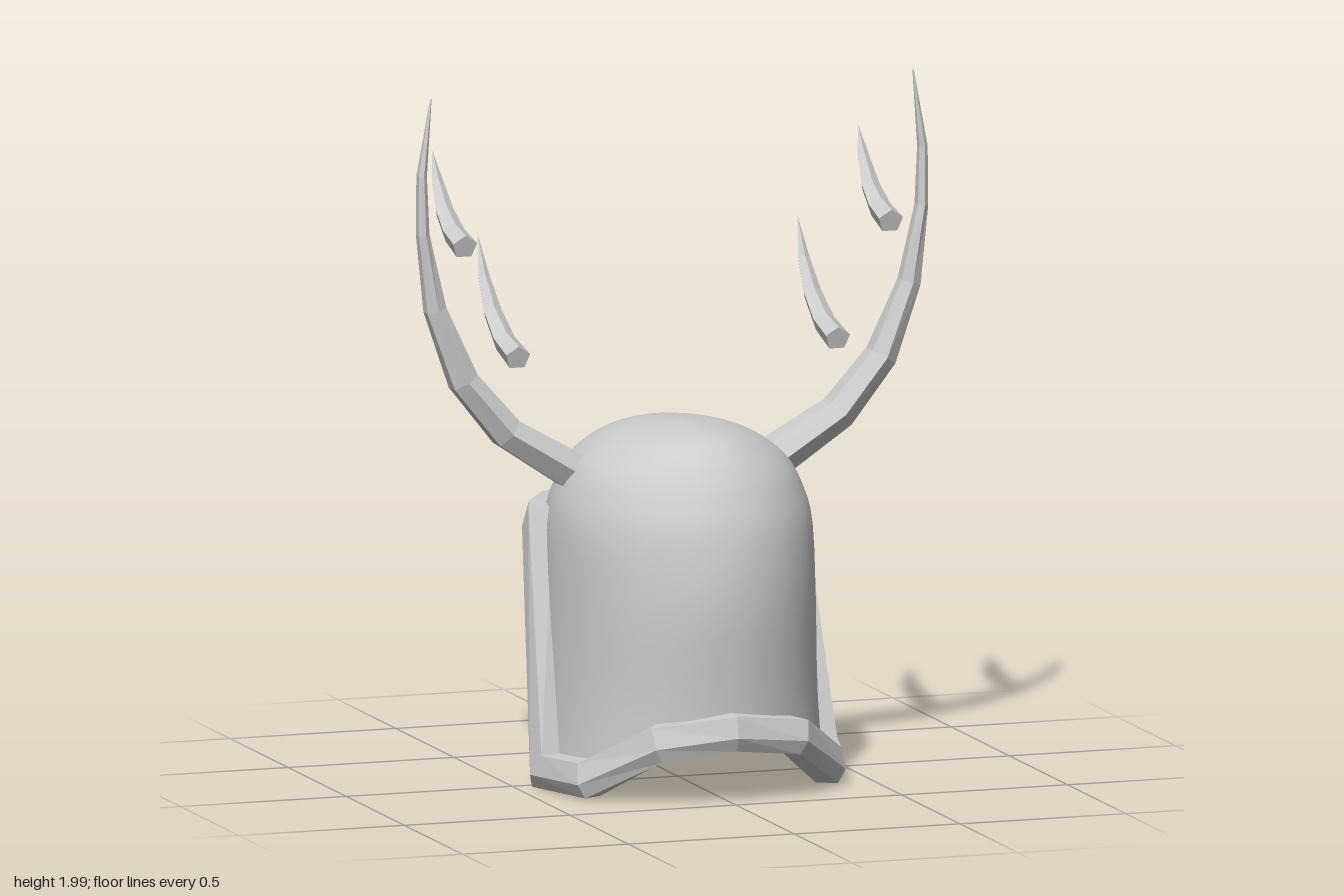
import * as THREE from 'three';
import { mergeGeometries, toCreasedNormals } from 'three/addons/utils/BufferGeometryUtils.js';

const V = (x, y, z) => new THREE.Vector3(x, y, z);
const RAD = Math.PI / 180;

// Flat-shaded skin over a list of rings (arrays of Vector3)
function loft(rings, closed) {
  const pos = [], m = rings.length, n = rings[0].length;
  const tri = (...p) => p.forEach(v => pos.push(v.x, v.y, v.z));
  for (let j = 0; j < (closed ? m : m - 1); j++) {
    const A = rings[j], B = rings[(j + 1) % m];
    for (let k = 0; k < n; k++) {
      const l = (k + 1) % n;
      tri(A[k], B[k], A[l]);
      tri(B[k], B[l], A[l]);
    }
  }
  if (!closed) for (let k = 1; k < n - 1; k++) tri(rings[0][0], rings[0][k], rings[0][k + 1]);
  const g = new THREE.BufferGeometry();
  g.setAttribute('position', new THREE.Float32BufferAttribute(pos, 3));
  g.computeVertexNormals();
  return g;
}

// Tapered horn along a planar path; b is the normal of that plane
function horn(path, rIn, rOut, b, sides) {
  const rings = path.map((p, i) => {
    const t = path[Math.min(i + 1, path.length - 1)].clone()
      .sub(path[Math.max(i - 1, 0)]).normalize();
    const n = t.cross(b);
    return Array.from({ length: sides }, (_, k) => {
      const a = (k + 0.5) / sides * Math.PI * 2;
      return p.clone().addScaledVector(n, Math.cos(a) * rIn[i]).addScaledVector(b, Math.sin(a) * rOut[i]);
    });
  });
  return loft(rings, false);
}

// Height of the shell's lower edge by angle from the back (degrees)
const edge = [[0, 0.21], [30, 0.18], [57, 0.06], [82, 0.06], [109, 0.735], [180, 0.73]];
function lerpTable(table, a) {
  let i = 0;
  while (i < table.length - 2 && a > table[i + 1][0]) i++;
  const [a0, y0] = table[i], [a1, y1] = table[i + 1];
  return y0 + (y1 - y0) * Math.min(1, (a - a0) / (a1 - a0));
}

function shellGeometry() {
  // height, half width, reach to the back, reach to the face
  const prof = [
    [0, 0.41, 0.46, 0.44], [0.25, 0.39, 0.46, 0.44], [0.55, 0.38, 0.48, 0.44],
    [0.75, 0.372, 0.46, 0.435], [0.85, 0.345, 0.425, 0.40], [0.92, 0.307, 0.385, 0.365],
    [0.98, 0.235, 0.33, 0.30], [1.02, 0.14, 0.25, 0.20], [1.04, 0, 0, 0]];
  const side = new THREE.SplineCurve(prof.map(p => new THREE.Vector2(p[1], p[0])));
  const ends = new THREE.SplineCurve(prof.map(p => new THREE.Vector2(p[2], p[3])));
  const cols = 72, rows = 24, pos = [], idx = [];
  for (let c = 0; c < cols; c++) {
    const deg = c * 360 / cols, yb = lerpTable(edge, deg > 180 ? 360 - deg : deg);
    let lo = 0, hi = 1;
    for (let i = 0; i < 30; i++) {
      const mid = (lo + hi) / 2;
      if (side.getPoint(mid).y < yb) lo = mid; else hi = mid;
    }
    for (let r = 0; r <= rows; r++) {
      const t = lo + (1 - lo) * r / rows, s = side.getPoint(t), e = ends.getPoint(t);
      const cz = Math.cos(deg * RAD);
      pos.push(s.x * Math.sin(deg * RAD), s.y, (cz > 0 ? e.x : e.y) * cz + 0.06 * t ** 6);
      if (r < rows) {
        const a = c * (rows + 1) + r, b = ((c + 1) % cols) * (rows + 1) + r;
        idx.push(a, b, a + 1);
        if (r < rows - 1) idx.push(b, b + 1, a + 1);
      }
    }
  }
  const g = new THREE.BufferGeometry();
  g.setAttribute('position', new THREE.Float32BufferAttribute(pos, 3));
  g.setIndex(idx);
  return toCreasedNormals(g, 0.8);
}

// Bevelled rim around the neck, cheeks and brow
function rimGeometry() {
  const half = [
    V(0, 0.205, 0.485), V(0.21, 0.175, 0.435), V(0.37, 0.055, 0.27), V(0.425, 0.05, 0.06),
    V(0.378, 0.73, -0.14), V(0.345, 0.73, -0.22), V(0.265, 0.73, -0.34),
    V(0.145, 0.73, -0.44), V(0, 0.715, -0.487)];
  const path = [...half, ...half.slice(1, -1).reverse().map(p => V(-p.x, p.y, p.z))];
  const section = [[-0.045, -0.05], [0.02, -0.05], [0.04, -0.01], [0.025, 0.05], [-0.045, 0.055]];
  const n = path.length;
  const rings = path.map((p, i) => {
    const out = V(p.x / 0.16, 0, p.z / 0.22).normalize();
    const perp = (a, b) => out.clone().cross(b.clone().sub(a)).normalize();
    const n1 = perp(path[(i + n - 1) % n], p), n2 = perp(p, path[(i + 1) % n]);
    const inward = n1.clone().add(n2).divideScalar(1 + n1.dot(n2));
    return section.map(([o, w]) => p.clone().addScaledVector(out, o).addScaledVector(inward, w));
  });
  return loft(rings, true);
}

// Half of the beaked eye mask: upright panels bent round the face
function maskGeometry(s) {
  const lower = [[0, 0.345], [6, 0.385], [14, 0.445], [24, 0.497], [34, 0.525], [44, 0.54], [73, 0.54]];
  const top = 0.7, K = 0.0075; // K: panel width per degree
  const height = (a, f) => THREE.MathUtils.lerp(lerpTable(lower, a), top, f);

  // Plain panel as a grid between two angles
  const plain = (a0, a1, nx) => {
    const g = new THREE.PlaneGeometry(1, 1, nx, 3), p = g.attributes.position;
    for (let v = 0; v < p.count; v++) {
      const a = a0 + (a1 - a0) * (p.getX(v) + 0.5);
      p.setXY(v, a * K, height(a, p.getY(v) + 0.5));
    }
    return g;
  };

  // Panel with the round eye hole
  const pts = [], add = (a, f) => pts.push(new THREE.Vector2(a * K, height(a, f)));
  for (let a = 24; a <= 44; a += 5) add(a, 0);
  for (const f of [1 / 3, 2 / 3]) add(44, f);
  for (let a = 44; a >= 24; a -= 5) add(a, 1);
  for (const f of [2 / 3, 1 / 3]) add(24, f);
  const shape = new THREE.Shape(pts);
  shape.holes.push(new THREE.Path().absellipse(33.5 * K, 0.602, 0.05, 0.05, 0, Math.PI * 2));

  const g = mergeGeometries([plain(0, 24, 6), new THREE.ShapeGeometry(shape, 6), plain(44, 73, 4)]);
  const p = g.attributes.position, id = g.index.array;
  for (let v = 0; v < p.count; v++) {
    const deg = p.getX(v) / K, y = p.getY(v);
    const beak = 0.022 * Math.exp(-((deg / 16) ** 2)) * (1 - ((y - 0.48) / 0.1) ** 2);
    p.setXYZ(v, s * 0.4 * Math.sin(deg * RAD), y, -0.488 * Math.cos(deg * RAD) - Math.max(beak, -0.018));
  }
  // keep the outside as the front face
  if (s > 0) for (let t = 0; t < id.length; t += 3) [id[t + 1], id[t + 2]] = [id[t + 2], id[t + 1]];
  return toCreasedNormals(g, 0.6);
}

export function createModel() {
  const group = new THREE.Group();
  group.name = 'antleredHelmet';
  const metal = new THREE.MeshStandardMaterial({ color: 0xcccccc, side: THREE.DoubleSide });
  metal.name = 'paleGrey';
  const add = (name, geo) => {
    const mesh = new THREE.Mesh(geo, metal);
    mesh.name = name;
    group.add(mesh);
  };

  add('shell', shellGeometry());
  add('rim', rimGeometry());

  for (const s of [1, -1]) {
    const side = s > 0 ? 'left' : 'right';
    add(side + 'Mask', maskGeometry(s));

    // Main antler beam
    const beam = [[0.29, 0.885], [0.5, 1.015], [0.63, 1.17], [0.715, 1.38], [0.752, 1.6], [0.755, 1.77], [0.727, 1.99]];
    add(side + 'Antler', horn(beam.map(([x, y]) => V(s * x, y, -0.05)),
      [0.062, 0.052, 0.046, 0.034, 0.018, 0.014, 0.002],
      [0.078, 0.068, 0.055, 0.036, 0.03, 0.022, 0.002], V(0, 0, 1), 6));

    // Two tines sweeping toward the face
    const tines = {
      LowerTine: [0.482, [[0, 1.235], [-0.12, 1.265], [-0.22, 1.33], [-0.295, 1.42], [-0.345, 1.53]]],
      UpperTine: [0.642, [[0, 1.565], [-0.1, 1.59], [-0.18, 1.64], [-0.24, 1.715], [-0.28, 1.795]]],
    };
    for (const [name, [x, pts]] of Object.entries(tines)) {
      add(side + name, horn(pts.map(([z, y]) => V(s * x, y, z)),
        [0.036, 0.033, 0.027, 0.017, 0.001], [0.038, 0.034, 0.028, 0.018, 0.001], V(1, 0, 0), 5));
    }
  }
  return group;
}
